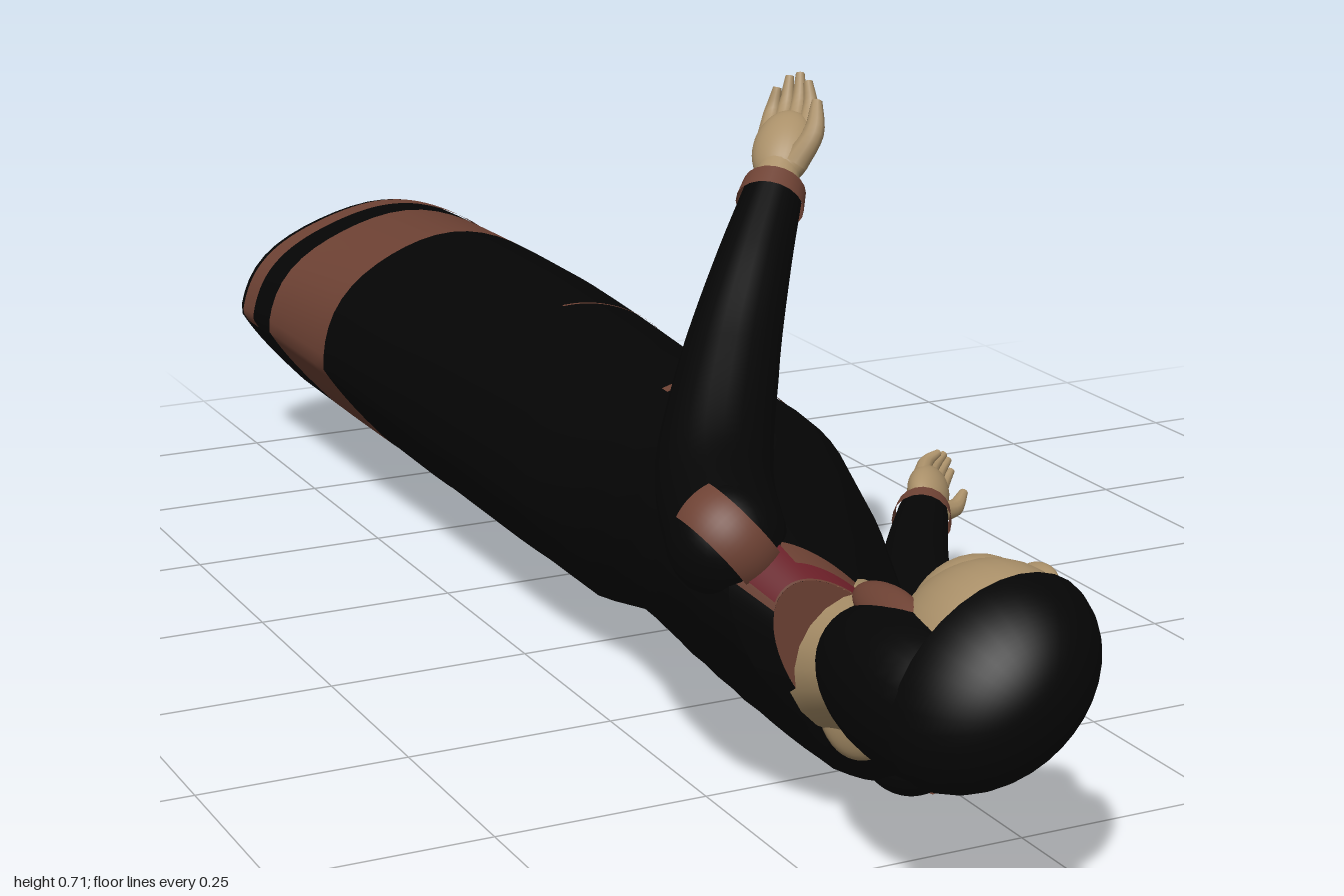
import * as THREE from 'three';
import { mergeVertices } from 'three/addons/utils/BufferGeometryUtils.js';

const mat = (name, color, side = THREE.FrontSide) => {
  const m = new THREE.MeshStandardMaterial({ color, side });
  m.name = name;
  return m;
};
const V = (a) => new THREE.Vector3(...a);
const TAU = Math.PI * 2;
const rad = THREE.MathUtils.degToRad;
const LEFT = [-0.63, 0.777, 0], FRONT = [0.777, 0.63, 0];

// Gown cross-sections along the body: z, centre x, centre y, side radius, front radius, facing angle
const SECTIONS = [
  [-1, -0.072, 0.212, 0.134, 0.199, 9],
  [-0.65, -0.08, 0.218, 0.152, 0.182, 13],
  [-0.4, -0.08, 0.215, 0.156, 0.172, 24],
  [0, -0.09, 0.207, 0.163, 0.158, 36],
  [0.15, -0.083, 0.222, 0.157, 0.145, 39],
  [0.27, -0.09, 0.222, 0.16, 0.145, 39],
  [0.4, -0.12, 0.205, 0.183, 0.138, 39],
  [0.54, -0.155, 0.195, 0.212, 0.112, 39],
  [0.62, -0.17, 0.192, 0.205, 0.082, 39],
  [0.66, -0.16, 0.19, 0.125, 0.06, 39],
];

// Point on the gown at length z, angle t (0 = front of the body), scaled by s
function gownPoint(z, t, s) {
  let i = 0;
  while (i < SECTIONS.length - 2 && z > SECTIONS[i + 1][0]) i++;
  const A = SECTIONS[i], B = SECTIONS[i + 1];
  const k = (z - A[0]) / (B[0] - A[0]);
  const [, cx, cy, a, b, deg] = A.map((v, n) => v + (B[n] - v) * k);
  const fold = 1 + 0.012 * Math.max(0, -z) * Math.sin(6 * t);
  const f = Math.cos(t) * b * s * fold, l = Math.sin(t) * a * s * fold;
  const c = Math.cos(rad(deg)), n = Math.sin(rad(deg));
  const x = cx + f * c - l * n, y = cy + f * n + l * c;
  // The back is pressed nearly flat
  const push = 0.85 * Math.max(0, -0.078 - x * FRONT[0] - y * FRONT[1]);
  return [x + push * FRONT[0], y + push * FRONT[1], z];
}

// Piece of the gown surface between two lengths, angles and scales
function gownPatch(z0, z1, d0 = 0, d1 = 360, s0 = 1, s1 = s0) {
  const rows = Math.max(2, Math.ceil((z1 - z0) / 0.04)), cols = 48;
  const pos = [], idx = [];
  for (let i = 0; i <= rows; i++) {
    for (let j = 0; j <= cols; j++) {
      const u = i / rows;
      pos.push(...gownPoint(z0 + (z1 - z0) * u, rad(d0 + (d1 - d0) * j / cols), s0 + (s1 - s0) * u));
      if (i < rows && j < cols) {
        const p = i * (cols + 1) + j, q = p + cols + 1;
        idx.push(p, p + 1, q, p + 1, q + 1, q);
      }
    }
  }
  let g = new THREE.BufferGeometry();
  g.setAttribute('position', new THREE.Float32BufferAttribute(pos, 3));
  g.setIndex(idx);
  g = mergeVertices(g, 1e-5);
  g.computeVertexNormals();
  return g;
}

// Tube along points whose radius follows a list
function taperedTube(points, radii, rows = 24, sides = 20) {
  const curve = new THREE.CatmullRomCurve3(points.map(V));
  const g = new THREE.TubeGeometry(curve, rows, 1, sides);
  const p = g.attributes.position, v = new THREE.Vector3();
  for (let i = 0; i <= rows; i++) {
    const c = curve.getPointAt(i / rows);
    const x = i / rows * (radii.length - 1), k = Math.min(Math.floor(x), radii.length - 2);
    const r = radii[k] + (radii[k + 1] - radii[k]) * (x - k);
    for (let j = 0; j <= sides; j++) {
      const n = i * (sides + 1) + j;
      v.fromBufferAttribute(p, n).sub(c).multiplyScalar(r).add(c);
      p.setXYZ(n, v.x, v.y, v.z);
    }
  }
  return g;
}

export function createModel() {
  const black = mat('black cloth', 0x050505, THREE.DoubleSide);
  const brown = mat('brown trim', 0x6e4234, THREE.DoubleSide);
  const red = mat('dark red trim', 0x6e2029, THREE.DoubleSide);
  const skin = mat('skin', 0xaa9069);
  const model = new THREE.Group();
  const add = (parent, name, g, m, at = [0, 0, 0], scale = [1, 1, 1]) => {
    const mesh = new THREE.Mesh(g, m);
    mesh.name = name;
    mesh.position.set(...at);
    mesh.scale.set(...scale);
    parent.add(mesh);
    return mesh;
  };
  // Group whose x, y and z follow the given side and up directions
  const frame = (name, at, side, up) => {
    const y = V(up).normalize(), x = V(side);
    x.addScaledVector(y, -x.dot(y)).normalize();
    const g = new THREE.Group();
    g.name = name;
    g.applyMatrix4(new THREE.Matrix4().makeBasis(x, y, x.clone().cross(y)));
    g.position.set(...at);
    model.add(g);
    return g;
  };
  const ball = new THREE.SphereGeometry(1, 32, 24);

  // Gown, hem bands and waist trim
  add(model, 'gown', gownPatch(-0.67, 0.635), black);
  add(model, 'wideHemBand', gownPatch(-0.885, -0.67), brown);
  add(model, 'hem', gownPatch(-1, -0.885), black);
  add(model, 'hemEnd', gownPatch(-1, -1, 0, 360, 0, 1), black);
  add(model, 'narrowHemBand', gownPatch(-0.985, -0.943, -5, 178, 1.012), brown);
  add(model, 'waistTrim', gownPatch(0.17, 0.187, -55, 72, 1.01), brown);
  add(model, 'waistPatch', gownPatch(0.05, 0.11, -96, -78, 1.012), brown);
  add(model, 'frontSeam', gownPatch(-0.222, -0.217, -18, 66, 1.008), brown);

  // Yoke with red insets and bare neckline
  add(model, 'yokeFront', gownPatch(0.635, 0.66, -112, 112), brown);
  add(model, 'yokeBack', gownPatch(0.635, 0.66, 112, 248), black);
  add(model, 'yokeTop', gownPatch(0.66, 0.66, 0, 360, 1, 0), brown);
  add(model, 'leftInset', gownPatch(0.634, 0.66, 62, 105, 1.02), red);
  add(model, 'rightInset', gownPatch(0.63, 0.66, 255, 302, 1.02), red);
  add(model, 'collarEdge', gownPatch(0.65, 0.66, -40, 62, 1.02), red);
  add(model, 'neckline', ball, skin, [-0.135, 0.165, 0.655], [0.062, 0.085, 0.022]);
  add(model, 'neck', taperedTube([[-0.15, 0.195, 0.64], [-0.145, 0.205, 0.69], [-0.13, 0.235, 0.8]],
    [0.082, 0.058, 0.054]), skin);

  // Head: x = its left, y = crown, z = face
  const head = frame('head', [-0.132, 0.249, 0.868], LEFT, [0, 0, 1]);
  add(head, 'face', ball, skin, [0, -0.015, 0.026], [0.081, 0.11, 0.098]);
  add(head, 'jaw', ball, skin, [0, -0.065, 0.045], [0.065, 0.066, 0.072]);
  add(head, 'chin', ball, skin, [0, -0.1, 0.084], [0.032, 0.028, 0.028]);
  add(head, 'nose', ball, skin, [0, -0.035, 0.118], [0.012, 0.03, 0.018]);
  add(head, 'lips', ball, skin, [0, -0.078, 0.107], [0.022, 0.01, 0.011]);
  for (const s of [-1, 1]) add(head, 'innerHair', ball, brown, [s * 0.066, -0.095, -0.008], [0.015, 0.065, 0.024]);
  add(head, 'hairCap', new THREE.SphereGeometry(1, 32, 20, 0, TAU, 0, 1.4), black, [0, 0.01, 0], [0.096, 0.12, 0.13]);
  add(head, 'backHair', ball, black, [0, -0.045, -0.05], [0.094, 0.152, 0.081]);

  // Sleeves, cuffs and hands
  const arms = [
    { name: 'left', path: [[-0.268, 0.325, 0.585], [-0.235, 0.36, 0.49], [-0.157, 0.445, 0.37], [-0.08, 0.53, 0.275], [-0.015, 0.595, 0.2]],
      radii: [0.064, 0.064, 0.056, 0.045, 0.034], side: [0.62, 0.08, 0.59], dir: [0.092, 0.115, -0.108], scale: 1.08 },
    { name: 'right', path: [[-0.045, 0.058, 0.59], [0.01, 0.075, 0.48], [0.085, 0.103, 0.37], [0.165, 0.132, 0.23], [0.232, 0.15, 0.13]],
      radii: [0.056, 0.058, 0.051, 0.041, 0.031], side: [0.4, -0.8, 0.2], dir: [0.085, 0.025, -0.115], scale: 0.95 },
  ];
  for (const { name, path, radii, side, dir, scale } of arms) {
    const wrist = V(path[4]), back = V(path[3]).sub(wrist).normalize();
    add(model, name + 'Sleeve', taperedTube(path, radii, 32), black);
    add(model, name + 'Shoulder', ball, black, path[0], [radii[0], radii[0], radii[0]]);
    // Trim running over the top of the shoulder
    const trim = frame(name + 'ShoulderTrim', path[0], LEFT, FRONT);
    add(trim, 'shoulderStrip', new THREE.SphereGeometry(radii[0] + 0.003, 24, 8, Math.PI, Math.PI, 1.2, 0.75), brown);
    const start = wrist.clone().addScaledVector(back, 0.022), end = wrist.clone().addScaledVector(back, -0.006);
    add(model, name + 'Cuff', taperedTube([start.toArray(), end.toArray()], [radii[4] + 0.006, radii[4] + 0.003], 4), brown);
    const hand = frame(name + 'Hand', path[4], side, dir);
    hand.scale.setScalar(scale);
    add(hand, 'wrist', new THREE.CylinderGeometry(0.023, 0.027, 0.07, 20), skin, [0, 0.005, 0], [1, 1, 0.9]);
    add(hand, 'palm', ball, skin, [0, 0.06, 0], [0.034, 0.05, 0.025]);
    // Slightly curled fingers held close together
    [0.052, 0.064, 0.06, 0.044].forEach((len, i) => {
      const x = 0.021 - i * 0.014;
      add(hand, 'finger', taperedTube([[x, 0.075, 0], [x, 0.09 + len * 0.5, 0.003], [x * 0.8, 0.09 + len, 0.015]],
        [0.012, 0.01, 0.005], 10, 10), skin);
    });
    add(hand, 'thumb', taperedTube([[0.018, 0.035, 0.004], [0.037, 0.065, 0.018], [0.037, 0.102, 0.028]],
      [0.015, 0.012, 0.006], 10, 10), skin);
  }
  return model;
}
